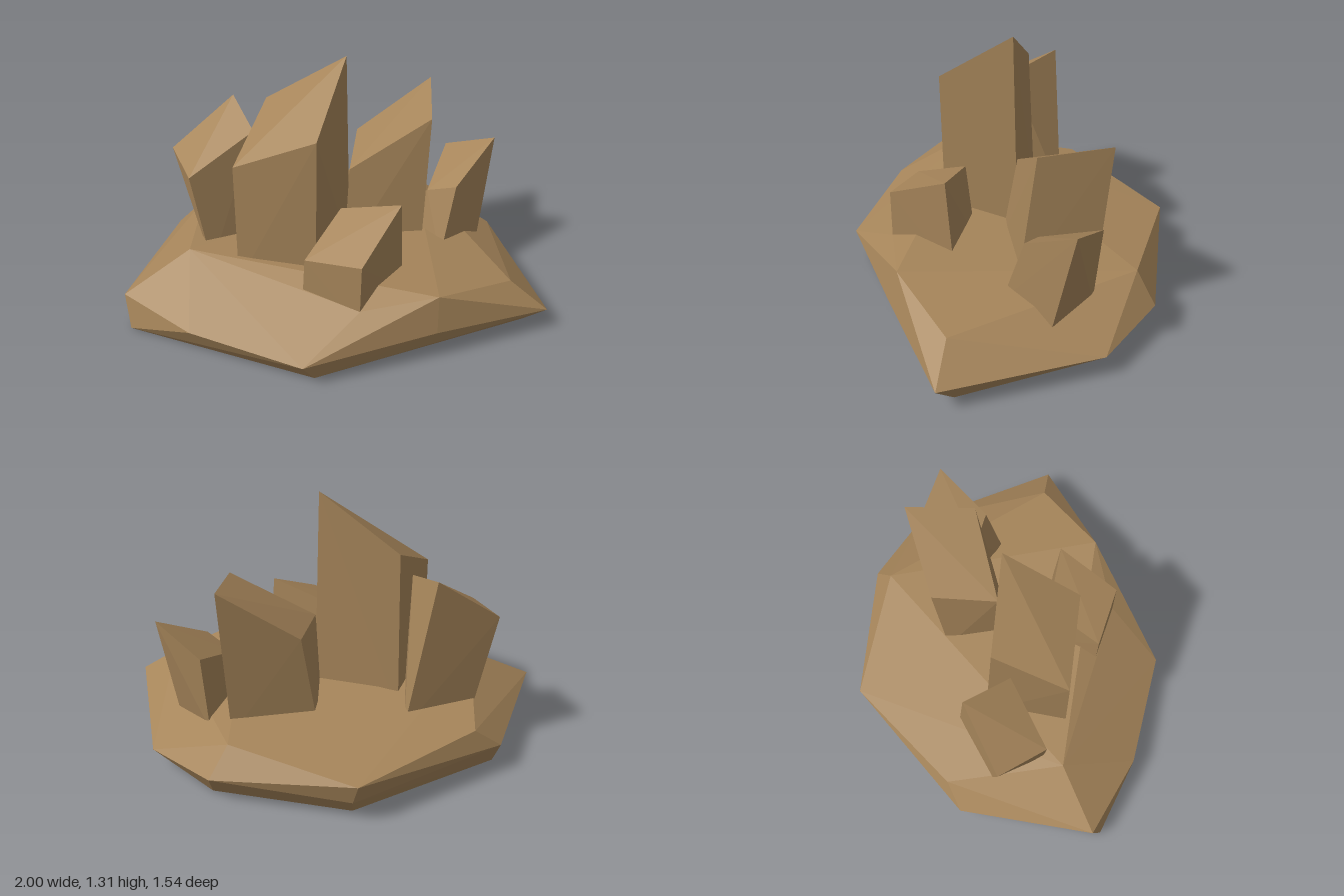
import * as THREE from 'three';
import { ConvexGeometry } from 'three/addons/geometries/ConvexGeometry.js';

const stone = new THREE.MeshStandardMaterial({ color: 0xa6855a, flatShading: true });
stone.name = 'sandstone';

// Faceted convex stone from its corner points
function facetedStone(name, corners) {
  const geometry = new ConvexGeometry(corners.map((c) => new THREE.Vector3(...c)));
  const mesh = new THREE.Mesh(geometry, stone);
  mesh.name = name;
  return mesh;
}

// Four-sided shard: footprint [x, z] sunk into the slab, slanted top [x, y, z]
function shard(name, foot, top, sunkY = 0.2) {
  return facetedStone(name, [...foot.map(([x, z]) => [x, sunkY, z]), ...top]);
}

export function createModel() {
  const group = new THREE.Group();
  group.name = 'rockCluster';

  // Wide slab: bottom, middle and top rings
  const bottom = [[-1, -0.04], [-0.3, 0.64], [0.82, 0.66], [0.78, -0.27], [0.22, -0.65], [-0.57, -0.53]];
  const middle = [
    [-1, 0.17, -0.1], [-0.79, 0.155, 0.28], [-0.38, 0.13, 0.69], [0.28, 0.165, 0.75], [0.88, 0.125, 0.77],
    [1, 0.115, 0], [0.82, 0.14, -0.37], [0.25, 0.11, -0.73], [-0.56, 0.15, -0.62],
  ];
  const upper = [
    [-0.66, 0.36, -0.08], [-0.05, 0.29, 0.6], [0.3, 0.345, 0.71], [0.73, 0.265, 0.65],
    [0.71, 0.285, -0.33], [0.24, 0.22, -0.77], [-0.42, 0.26, -0.61],
  ];
  group.add(facetedStone('baseSlab', [...bottom.map(([x, z]) => [x, 0, z]), ...middle, ...upper]));

  // Tallest shard in the middle
  group.add(shard('tallShard',
    [[-0.46, 0.06], [-0.14, 0.28], [0.16, 0.02], [-0.18, -0.25]],
    [[-0.46, 0.86, 0.05], [-0.14, 1.05, 0.29], [0.12, 1.31, 0.03], [-0.19, 1.04, -0.21]]));

  // Broad shard leaning to the left side
  group.add(shard('leaningShard',
    [[0.1, 0.08], [0.485, 0.185], [0.64, -0.14], [0.235, -0.24]],
    [[0.15, 0.68, 0.02], [0.54, 0.93, 0.12], [0.69, 0.985, -0.18], [0.32, 0.72, -0.26]]));

  // Outer shard at the rim
  group.add(shard('rimShard',
    [[0.49, 0.17], [0.54, 0.29], [0.82, 0.18], [0.73, -0.08]],
    [[0.545, 0.51, 0.11], [0.64, 0.575, 0.23], [0.91, 0.74, 0.12], [0.76, 0.62, -0.1]], 0.21));

  // Short shard at the front
  group.add(shard('frontShard',
    [[-0.25, 0.37], [-0.055, 0.6], [0.265, 0.41], [0.02, 0.19]],
    [[-0.24, 0.49, 0.38], [-0.05, 0.54, 0.6], [0.23, 0.705, 0.43], [0.01, 0.62, 0.23]]));

  // Back shard
  group.add(shard('backShard',
    [[-0.54, -0.12], [-0.27, -0.12], [-0.15, -0.39], [-0.5, -0.4]],
    [[-0.615, 0.715, -0.16], [-0.28, 0.9, -0.16], [-0.29, 0.975, -0.415], [-0.615, 0.74, -0.425]]));

  return group;
}
